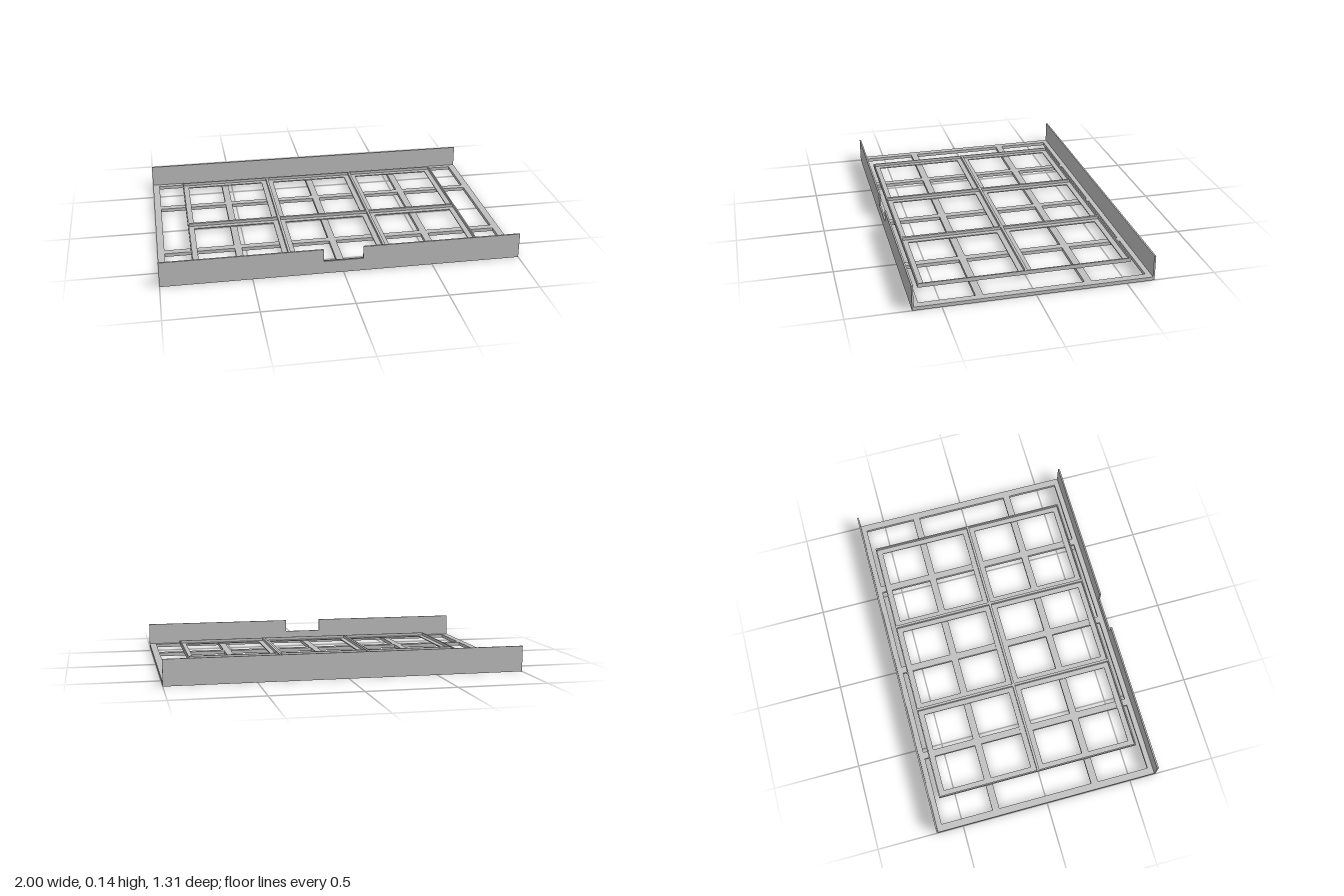
import * as THREE from 'three';

const steel = new THREE.MeshStandardMaterial({ color: 0xc0c0c0 });
steel.name = 'light grey steel';

// Rectangle outline for shapes and holes
function trace(path, x0, y0, x1, y1) {
  path.moveTo(x0, y0);
  path.lineTo(x1, y0);
  path.lineTo(x1, y1);
  path.lineTo(x0, y1);
  path.closePath();
  return path;
}

// Flat rectangular plate lying in xz, pierced by the given rectangles
function piercedPlate(name, halfX, halfZ, thickness, holes) {
  const shape = trace(new THREE.Shape(), -halfX, -halfZ, halfX, halfZ);
  for (const h of holes) shape.holes.push(trace(new THREE.Path(), ...h));
  const geo = new THREE.ExtrudeGeometry(shape, { depth: thickness, bevelEnabled: false });
  geo.rotateX(-Math.PI / 2);
  const mesh = new THREE.Mesh(geo, steel);
  mesh.name = name;
  return mesh;
}

// Upright wall in xy, extruded along z
function sideWall(name, points, z, thickness) {
  const shape = new THREE.Shape(points.map(([x, y]) => new THREE.Vector2(x, y)));
  const mesh = new THREE.Mesh(
    new THREE.ExtrudeGeometry(shape, { depth: thickness, bevelEnabled: false }), steel);
  mesh.position.z = z;
  mesh.name = name;
  return mesh;
}

export function createModel() {
  const model = new THREE.Group();
  model.name = 'trayFrame';

  const halfZ = 0.655, wallT = 0.009, wallH = 0.145, baseT = 0.02;

  // Base lattice: outer frame, three lengthwise and two crosswise bars
  const spansX = [[-0.96, -0.565], [-0.525, -0.02], [0.02, 0.525], [0.565, 0.96]];
  const spansZ = [[-0.617, -0.316], [-0.275, 0.275], [0.316, 0.617]];
  const holes = [];
  for (const [x0, x1] of spansX)
    for (const [z0, z1] of spansZ) holes.push([x0, z0, x1, z1]);
  model.add(piercedPlate('baseLattice', 1, halfZ - wallT, baseT, holes));

  // Front wall with a notch, plain back wall
  model.add(sideWall('frontWall', [
    [-1, 0], [1, 0], [1, wallH], [0.11, wallH], [0.11, 0.073],
    [-0.11, 0.073], [-0.11, wallH], [-1, wallH],
  ], halfZ - wallT, wallT));
  model.add(sideWall('backWall', [[-1, 0], [1, 0], [1, wallH], [-1, wallH]], -halfZ, wallT));

  // Six angle-section cell frames: a flat flange with a thin upright rim
  const cellX = 0.542, cellZ = 0.593, flange = 0.037, rim = 0.007;
  const hx = cellX / 2, hz = cellZ / 2, flangeT = 0.006, rimH = 0.023;
  for (let i = -1; i <= 1; i++) {
    for (const s of [-1, 1]) {
      const cell = new THREE.Group();
      cell.name = 'cellFrame';
      cell.position.set(i * cellX, baseT, s * hz);
      const ring = (name, w, h) => piercedPlate(name, hx, hz, h,
        [[-hx + w, -hz + w, hx - w, hz - w]]);
      cell.add(ring('cellFlange', flange, flangeT));
      const lip = ring('cellRim', rim, rimH - flangeT);
      lip.position.y = flangeT;
      cell.add(lip);
      model.add(cell);
    }
  }
  return model;
}
